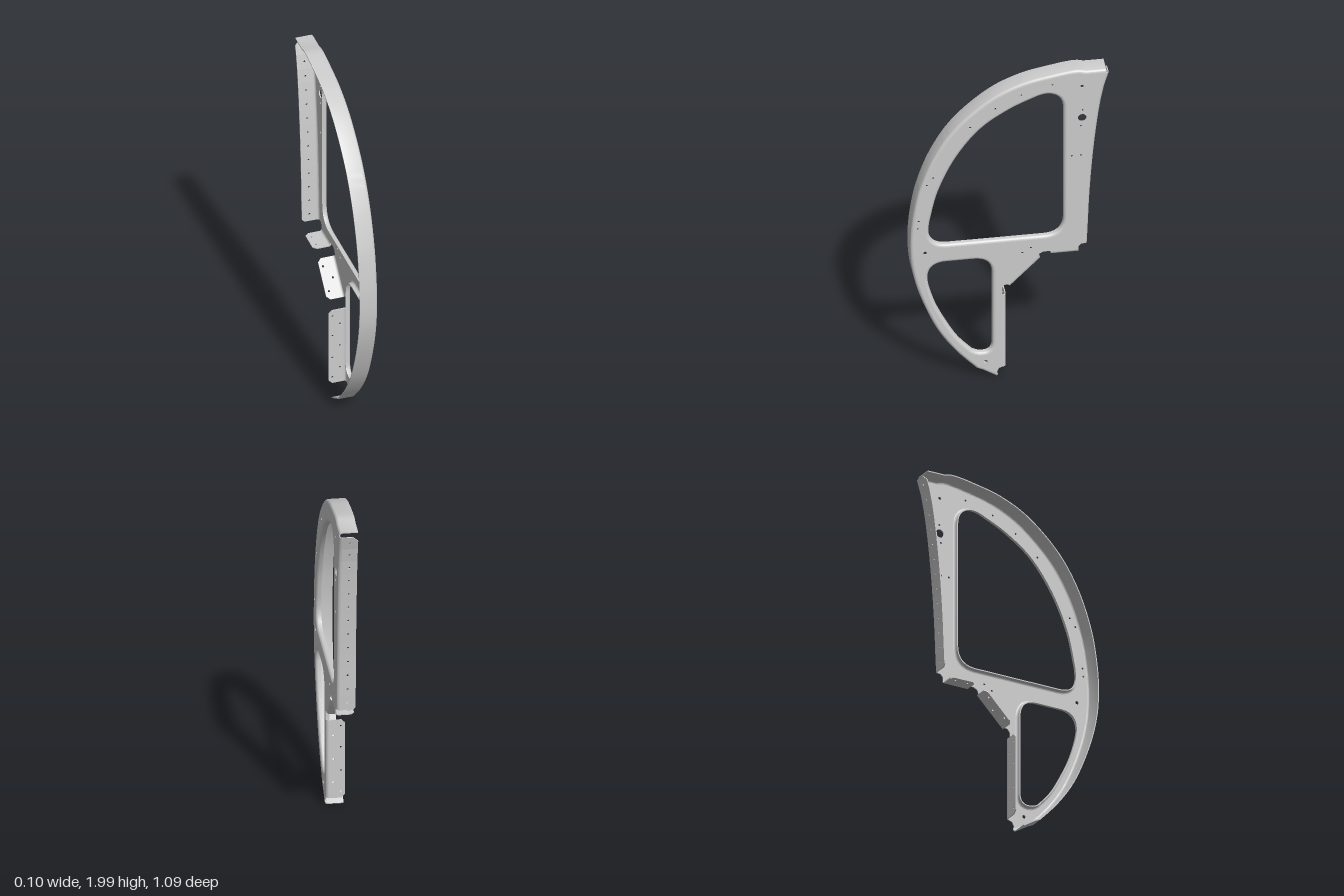
import * as THREE from 'three';
import { toCreasedNormals, mergeGeometries } from 'three/addons/utils/BufferGeometryUtils.js';

// Pressed sheet rib, drawn in its own plane (u, v) with depth w, then turned so w becomes x.
const H = 0.052;  // half the depth of the rib
const T = 0.006;  // sheet thickness
const R = 0.018;  // outer bend radius
const material = new THREE.MeshStandardMaterial({ color: 0xcccccc });
const V = (list) => list.map(([x, y]) => new THREE.Vector2(x, y));

// Outward normals (right of travel) along a path
function normals(pts, closed) {
  const n = pts.length;
  return pts.map((p, i) => {
    const a = closed ? pts[(i + n - 1) % n] : pts[Math.max(i - 1, 0)];
    const b = closed ? pts[(i + 1) % n] : pts[Math.min(i + 1, n - 1)];
    const d = b.clone().sub(a).normalize();
    return new THREE.Vector2(d.y, -d.x);
  });
}

// Path moved inwards by the bend radius: where the flat web ends
function inset(pts, closed = false) {
  const ns = normals(pts, closed);
  return pts.map((p, i) => p.clone().addScaledVector(ns[i], -R));
}

// Bend plus straight leaf down to depth w0, swept along a path
function bentEdge(pts, w0, closed = false) {
  const outer = [], inner = [], steps = 5;
  for (let k = 0; k <= steps; k++) {
    const a = (k / steps) * Math.PI / 2, s = Math.sin(a), c = Math.cos(a);
    outer.push([-R + R * s, H - R + R * c]);
    inner.push([-R + (R - T) * s, H - R + (R - T) * c]);
  }
  if (w0 < H - R) { outer.push([0, w0]); inner.push([-T, w0]); }
  const section = [...outer, ...inner.reverse()];
  const m = section.length, n = pts.length, ns = normals(pts, closed);
  const pos = [], idx = [];
  pts.forEach((p, i) => section.forEach(([o, w]) => pos.push(p.x + ns[i].x * o, p.y + ns[i].y * o, w)));
  for (let i = 0; i < (closed ? n : n - 1); i++) {
    for (let j = 0; j < m; j++) {
      const a = i * m + j, b = i * m + (j + 1) % m;
      const c = ((i + 1) % n) * m + j, d = ((i + 1) % n) * m + (j + 1) % m;
      idx.push(a, b, c, b, d, c);
    }
  }
  if (!closed) {
    const e = (n - 1) * m;
    for (let j = 0; j < m / 2 - 1; j++) {
      const q = m - 1 - j;
      idx.push(j, q, j + 1, q, q - 1, j + 1);
      idx.push(e + j, e + j + 1, e + q, e + q, e + j + 1, e + q - 1);
    }
  }
  const g = new THREE.BufferGeometry();
  g.setAttribute('position', new THREE.Float32BufferAttribute(pos, 3));
  g.setIndex(idx);
  return toCreasedNormals(g, 0.6);
}

function circle(x, y, r) {
  return new THREE.Path().absarc(x, y, r, 0, Math.PI * 2, true);
}

// Flat flange leaf from a to b; c0, c1 chamfer its free corners, holes are [along, w]
function leaf(a, b, holes, c0 = 0, c1 = 0) {
  const d = b.clone().sub(a), L = d.length();
  d.normalize();
  const s = new THREE.Shape(V([[0, H - R], [0, -H + c0], [c0, -H], [L - c1, -H], [L, -H + c1], [L, H - R]]));
  holes.forEach(([f, w]) => s.holes.push(circle(f * L, w, 0.006)));
  const g = new THREE.ExtrudeGeometry(s, { depth: T, bevelEnabled: false, curveSegments: 5 });
  g.translate(0, 0, -T);
  const m = new THREE.Matrix4().makeBasis(
    new THREE.Vector3(d.x, d.y, 0), new THREE.Vector3(0, 0, 1), new THREE.Vector3(d.y, -d.x, 0));
  return g.applyMatrix4(m.setPosition(a.x, a.y, 0));
}

export function createModel() {
  const group = new THREE.Group();
  const body = new THREE.Group();
  body.name = 'rib';
  body.rotation.y = Math.PI / 2;
  group.add(body);
  const add = (name, geometry) => {
    const mesh = new THREE.Mesh(geometry, material);
    mesh.name = name;
    body.add(mesh);
  };

  // Edge paths, anticlockwise
  const lower = V([[-0.02, 0.072], [-0.02, 0.55]]);
  const diagonal = V([[0.005, 0.602], [0.168, 0.768]]);
  const bottom = V([[0.227, 0.79], [0.378, 0.79]]);
  const rear = new THREE.SplineCurve(V([[0.425, 0.845], [0.43, 0.95], [0.44, 1.18], [0.46, 1.45],
    [0.488, 1.7], [0.515, 1.86], [0.545, 1.965]])).getSpacedPoints(13);
  const arc = new THREE.SplineCurve(V([[0.35, 2], [0.26, 1.987], [0.07, 1.945], [-0.11, 1.857], [-0.296, 1.69],
    [-0.418, 1.5], [-0.497, 1.29], [-0.534, 1.1], [-0.546, 0.93], [-0.534, 0.76], [-0.487, 0.574],
    [-0.4, 0.36], [-0.296, 0.2], [-0.18, 0.07]])).getSpacedPoints(90);
  const outer = [...V([[0.53, 1.991], [0.42, 1.991], [0.385, 2]]), ...arc, ...V([[-0.15, 0.056], [-0.074, 0.008]])];

  // Lightening cutouts, clockwise
  const upperCut = new THREE.Path();
  upperCut.moveTo(0.296, 1.03);
  upperCut.quadraticCurveTo(0.296, 0.918, 0.185, 0.918);
  upperCut.lineTo(-0.34, 0.918);
  upperCut.quadraticCurveTo(-0.45, 0.918, -0.444, 1.03);
  upperCut.splineThru(V([[-0.434, 1.1], [-0.39, 1.28], [-0.296, 1.485], [-0.164, 1.66], [-0.005, 1.775], [0.15, 1.847]]));
  upperCut.bezierCurveTo(0.23, 1.88, 0.296, 1.84, 0.296, 1.755);
  const lowerCut = new THREE.Path();
  lowerCut.moveTo(-0.095, 0.24);
  lowerCut.quadraticCurveTo(-0.095, 0.177, -0.145, 0.177);
  lowerCut.quadraticCurveTo(-0.18, 0.175, -0.21, 0.2);
  lowerCut.splineThru(V([[-0.296, 0.304], [-0.39, 0.484], [-0.435, 0.615], [-0.45, 0.69]]));
  lowerCut.quadraticCurveTo(-0.455, 0.8, -0.35, 0.8);
  lowerCut.lineTo(-0.2, 0.8);
  lowerCut.quadraticCurveTo(-0.095, 0.8, -0.095, 0.69);
  const cuts = [upperCut, lowerCut].map((c) => {
    const p = c.getPoints(10).filter((q, i, all) => i === 0 || q.distanceTo(all[i - 1]) > 1e-4);
    if (p[0].distanceTo(p[p.length - 1]) < 1e-4) p.pop();
    return p;
  });

  // Flat web with relief notches between the flanges
  const web = new THREE.Shape([
    ...inset(lower),
    ...V([[-0.044, 0.55], [-0.044, 0.595], [-0.03, 0.615], [-0.012, 0.618]]),
    ...inset(diagonal),
    ...V([[0.153, 0.785], [0.163, 0.805], [0.185, 0.815], [0.227, 0.815]]),
    ...inset(bottom),
    ...V([[0.378, 0.83], [0.392, 0.845]]),
    ...inset(rear),
    ...V([[0.53, 1.97]]),
    ...inset(outer),
    ...V([[-0.07, 0.04], [-0.058, 0.065]]),
  ]);
  cuts.forEach((c) => web.holes.push(new THREE.Path(inset(c, true))));
  const drilled = [[0.397, 1.685, 0.024], [0.397, 1.895, 0.009], [0.235, 1.92], [0.064, 1.87], [-0.08, 1.795],
    [-0.217, 1.685], [-0.42, 1.37], [-0.455, 1.325], [-0.5, 1.088], [-0.505, 1.04], [-0.465, 0.875, 0.01],
    [-0.132, 0.114, 0.01], [0.07, 0.82], [0.117, 0.848], [0.34, 1.435], [0.39, 1.435], [0.4, 1.735], [0.39, 1.63]];
  drilled.forEach(([x, y, r = 0.006]) => web.holes.push(circle(x, y, r)));
  const webGeometry = new THREE.ExtrudeGeometry(web, { depth: T, bevelEnabled: false, curveSegments: 10 });
  add('web', webGeometry.translate(0, 0, H - T));

  // Outer flange and the short lips of the cutouts
  add('outerFlange', bentEdge(outer, -H));
  add('upperCutoutLip', bentEdge(cuts[0], H - 0.03, true));
  add('lowerCutoutLip', bentEdge(cuts[1], H - 0.03, true));

  // Rear flange: a chain of drilled bays
  add('rearFlangeBend', bentEdge(rear, H - R));
  const bays = rear.slice(1).map((p, i) =>
    leaf(rear[i], p, [[0.5, -0.008]], i === 0 ? 0.015 : 0, i === 12 ? 0.03 : 0));
  add('rearFlange', mergeGeometries(bays));

  // Straight attachment flanges
  const straight = {
    lowerFlange: [lower, [0.08, 0.2, 0.35, 0.5, 0.65, 0.8, 0.92].map((f, i) => [f, i % 2 ? 0.012 : -0.03])],
    diagonalFlange: [diagonal, [[0.2, -0.03], [0.5, 0.01], [0.8, -0.03]]],
    bottomFlange: [bottom, [[0.25, -0.025], [0.75, -0.025]]],
  };
  for (const [name, [path, holes]] of Object.entries(straight)) {
    add(name + 'Bend', bentEdge(path, H - R));
    add(name, leaf(path[0], path[1], holes, 0.02, 0.02));
  }
  return group;
}
